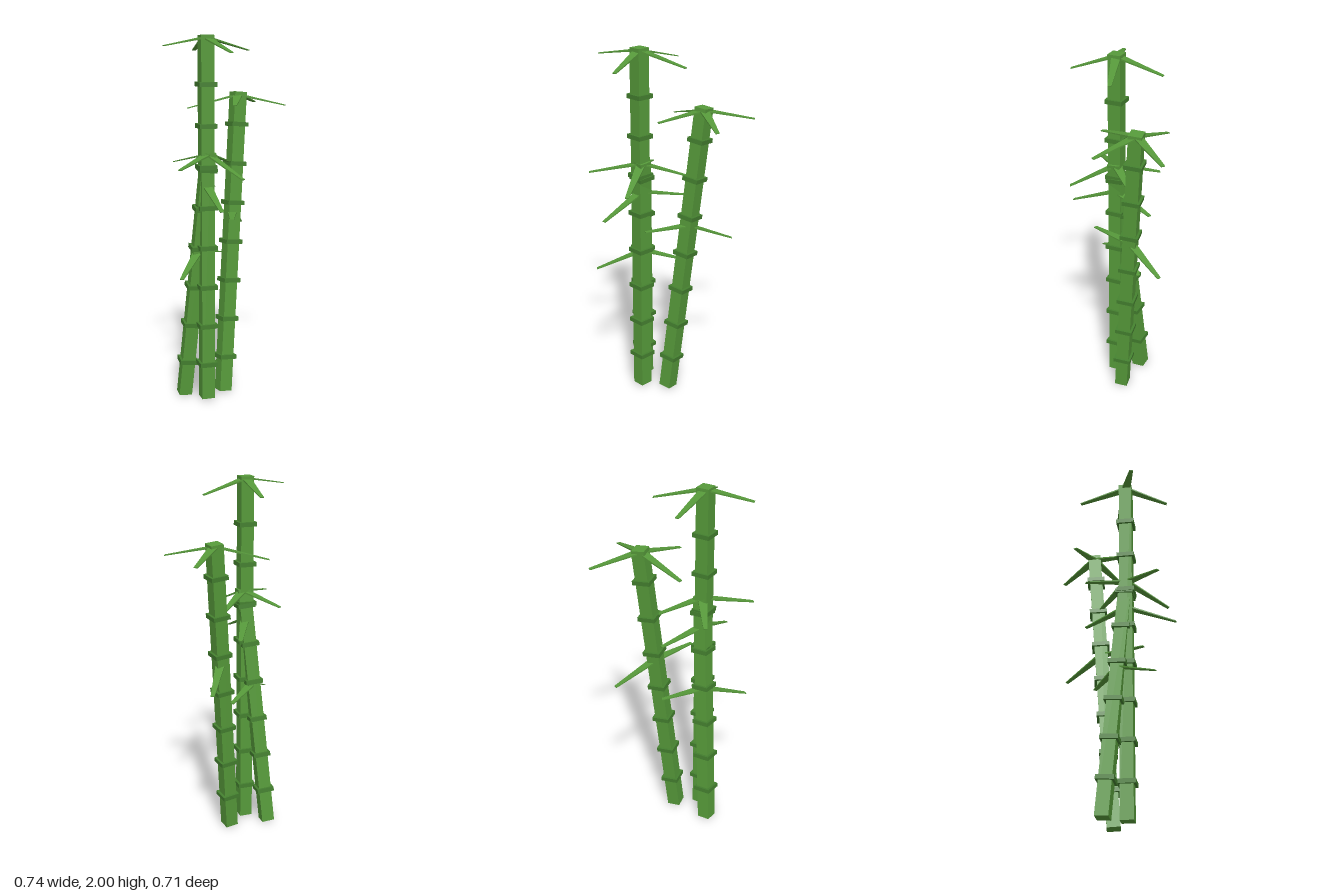
import * as THREE from 'three';

const stalkGreen = new THREE.MeshStandardMaterial({ name: 'stalk green', color: 0x569a3a });
const nodeGreen = new THREE.MeshStandardMaterial({ name: 'node green', color: 0x44802f });
const leafGreen = new THREE.MeshStandardMaterial({ name: 'leaf green', color: 0x56983a });
for (const m of [stalkGreen, nodeGreen, leafGreen]) m.flatShading = true;

const UP = new THREE.Vector3(0, 1, 0);

// Square cane from base to top, with a wider ring at every joint
function makeStalk(name, base, top, spin, nodeCount) {
  const axis = top.clone().sub(base);
  const length = axis.length();
  const stalk = new THREE.Group();
  stalk.name = name;
  stalk.position.copy(base);
  stalk.quaternion.setFromUnitVectors(UP, axis.normalize())
    .multiply(new THREE.Quaternion().setFromAxisAngle(UP, spin));

  const cane = new THREE.Mesh(new THREE.BoxGeometry(0.072, length, 0.072), stalkGreen);
  cane.name = 'cane';
  cane.position.y = length / 2;
  stalk.add(cane);

  for (let i = 0; i < nodeCount; i++) {
    const node = new THREE.Mesh(new THREE.BoxGeometry(0.098, 0.024, 0.098), nodeGreen);
    node.name = 'jointRing';
    node.position.y = 0.198 + i * 0.2195;
    stalk.add(node);
  }
  return stalk;
}

// Flat blade that narrows from root to tip
function makeLeaf(root, tip) {
  const length = root.distanceTo(tip);
  const geo = new THREE.BoxGeometry(0.052, 0.009, length);
  geo.translate(0, 0, length / 2);
  const p = geo.attributes.position;
  for (let i = 0; i < p.count; i++) {
    const t = p.getZ(i) / length;
    p.setX(i, p.getX(i) * (1 - 0.6 * t));
    p.setY(i, p.getY(i) * (1 - 0.5 * t));
  }
  geo.computeVertexNormals();
  const leaf = new THREE.Mesh(geo, leafGreen);
  leaf.name = 'leaf';
  leaf.position.copy(root);
  leaf.lookAt(tip);
  return leaf;
}

export function createModel() {
  const model = new THREE.Group();
  model.name = 'bambooCluster';
  const v = (x, y, z) => new THREE.Vector3(x, y, z);

  model.add(
    makeStalk('tallStalk', v(-0.122, 0.01, 0.081), v(-0.122, 2, 0.081), -0.03, 8),
    makeStalk('leaningStalk', v(0.003, 0.006, -0.005), v(0.138, 1.69, -0.139), 0.12, 7),
    makeStalk('shortStalk', v(-0.22, 0.006, -0.032), v(-0.11, 1.385, 0.083), -0.08, 6),
  );

  // Sprays of leaves: a shared root and the tip of each blade
  const sprays = [
    ['tallCrown', [-0.122, 1.988, 0.081],
      [[-0.367, 1.945, 0.14], [0.142, 1.92, 0.007], [-0.105, 1.92, -0.186], [-0.06, 1.91, 0.315]]],
    ['tallSideLeaves', [-0.122, 1.21, 0.081],
      [[-0.125, 1.105, 0.352], [0, 1.16, -0.163]]],
    ['leaningCrown', [0.136, 1.675, -0.138],
      [[0.312, 1.62, -0.348], [0.362, 1.62, 0.003], [-0.14, 1.6, -0.208],
        [0.033, 1.63, 0.098], [0.213, 1.61, -0.305]]],
    ['leaningSideLeaves', [0.085, 1.022, -0.086],
      [[0.212, 0.92, -0.303], [-0.004, 1.025, 0.162]]],
    ['shortCrown', [-0.111, 1.375, 0.082],
      [[-0.325, 1.32, 0.273], [0.008, 1.26, 0.306], [0.07, 1.305, -0.09], [-0.242, 1.315, -0.127]]],
    ['shortSideLeaves', [-0.153, 0.84, 0.038],
      [[-0.313, 0.74, 0.248], [0.03, 0.79, -0.112]]],
  ];
  // The blade below the leaning crown belongs to its side spray only
  sprays[2][2].pop();

  for (const [name, root, tips] of sprays) {
    const spray = new THREE.Group();
    spray.name = name;
    for (const tip of tips) spray.add(makeLeaf(v(...root), v(...tip)));
    model.add(spray);
  }
  return model;
}
